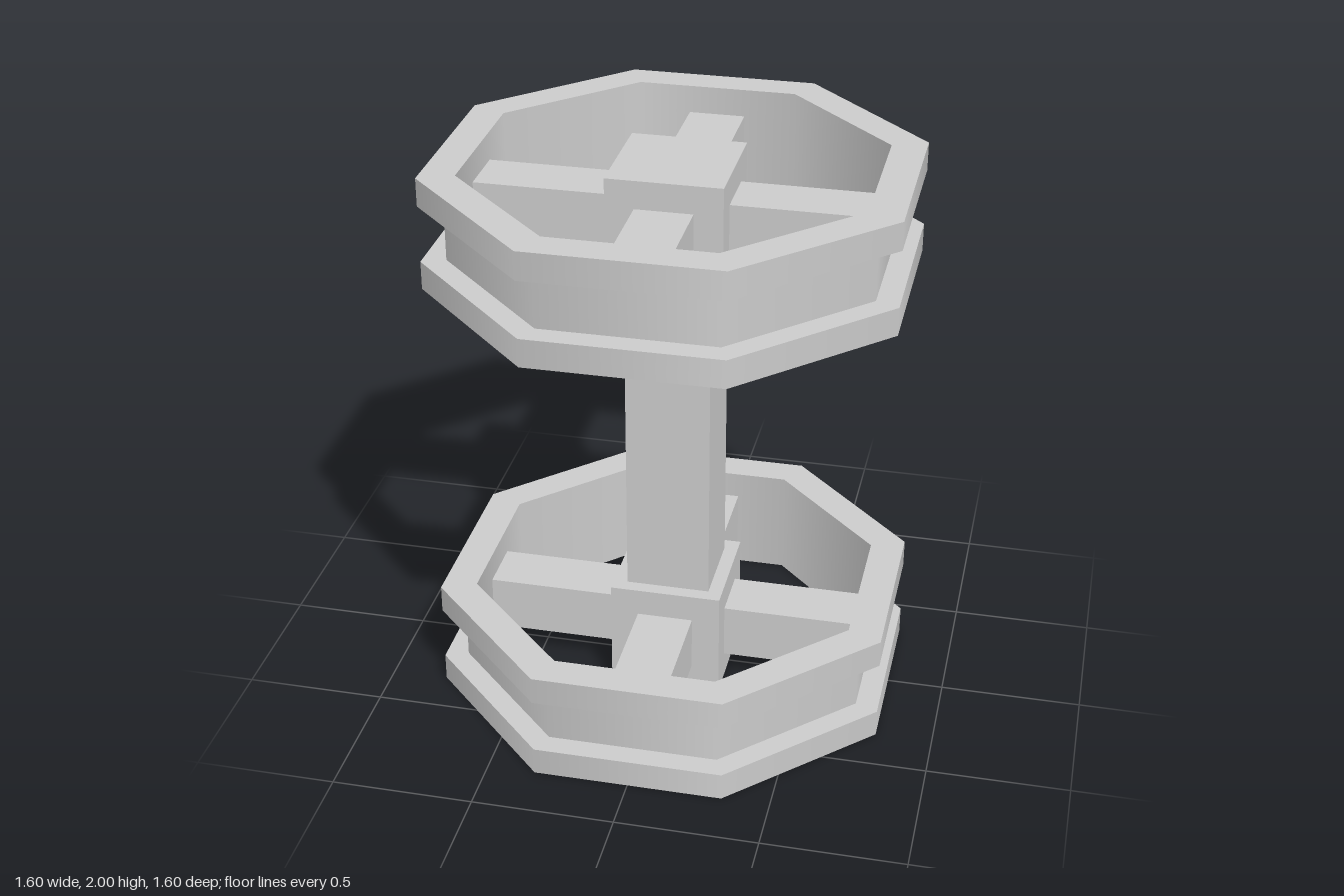
import * as THREE from 'three';
import { mergeGeometries } from 'three/addons/utils/BufferGeometryUtils.js';

const material = new THREE.MeshStandardMaterial({ color: 0xcccccc });

function box(name, w, h, d, x, y, z) {
  const mesh = new THREE.Mesh(new THREE.BoxGeometry(w, h, d), material);
  mesh.name = name;
  mesh.position.set(x, y, z);
  return mesh;
}

// Octagonal rim: each band of the closed profile is its own lathe,
// smooth around the ring and sharp between bands. Radii are to the flats.
function rimGeometry() {
  const profile = [
    [0.8, 0], [0.8, 0.1], [0.72, 0.1], [0.72, 0.3], [0.8, 0.3],
    [0.8, 0.4], [0.68, 0.4], [0.68, 0],
  ].map(([r, y]) => new THREE.Vector2(r / Math.cos(Math.PI / 8), y - 0.2));
  return mergeGeometries(profile.map((p, i) =>
    new THREE.LatheGeometry([p, profile[(i + 1) % profile.length]], 8, Math.PI / 8)));
}

// Grooved wheel with a square hub and four spokes
function createWheel(name, y) {
  const wheel = new THREE.Group();
  wheel.name = name;
  wheel.position.y = y;
  const rim = new THREE.Mesh(rimGeometry(), material);
  rim.name = 'rim';
  wheel.add(rim, box('hub', 0.4, 0.4, 0.4, 0, 0, 0));
  for (const s of [-1, 1]) {
    wheel.add(box('spoke', 0.48, 0.2, 0.2, s * 0.44, 0, 0));
    wheel.add(box('spoke', 0.2, 0.2, 0.48, 0, 0, s * 0.44));
  }
  return wheel;
}

export function createModel() {
  const model = new THREE.Group();
  model.name = 'wheelPair';
  model.add(createWheel('lowerWheel', 0.2), createWheel('upperWheel', 1.8));
  // Square axle joining the hubs
  model.add(box('axle', 0.3, 1.2, 0.3, 0, 1, 0));
  return model;
}
